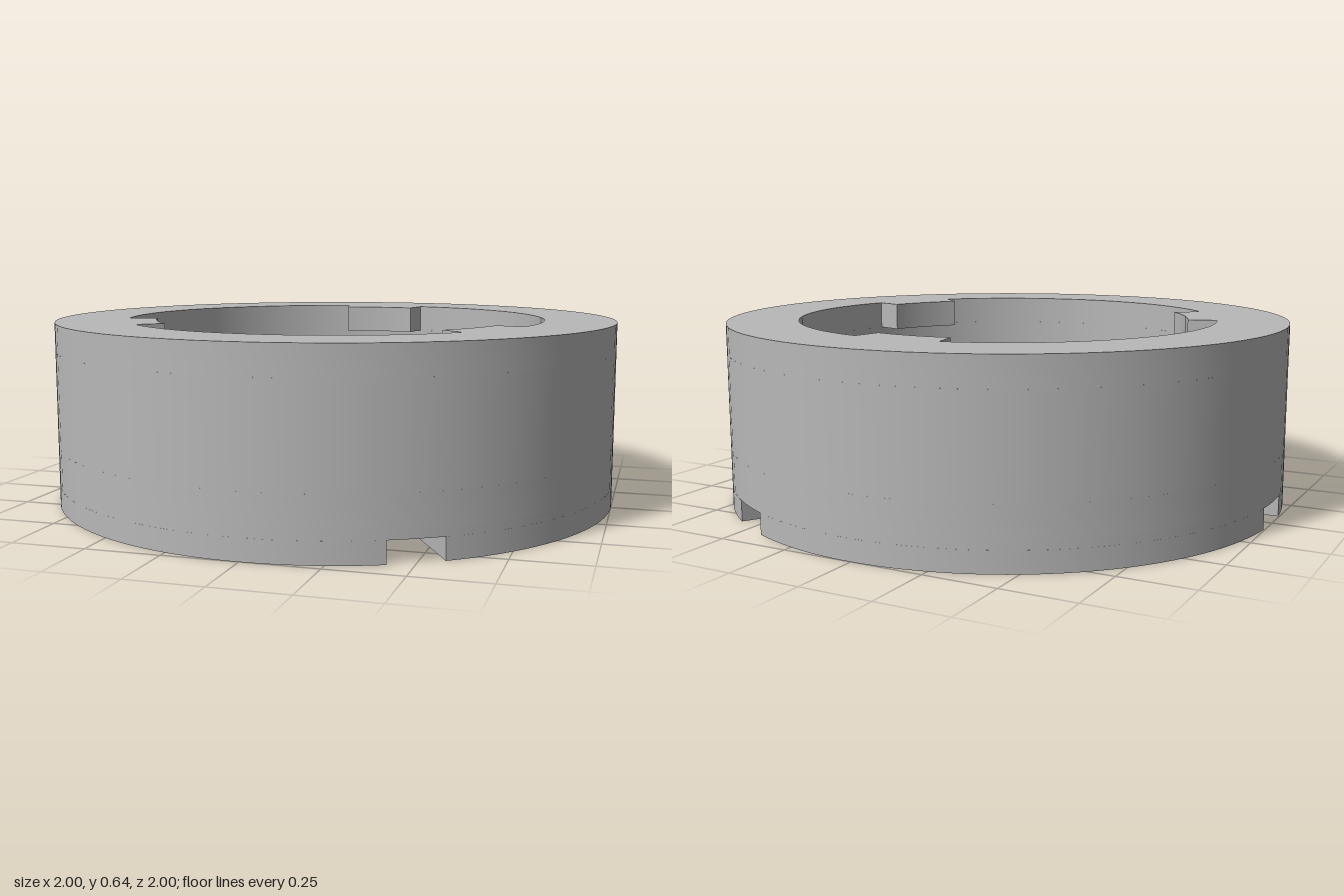
import * as THREE from 'three';
import { toCreasedNormals } from 'three/addons/utils/BufferGeometryUtils.js';
import { ParametricGeometry } from 'three/addons/geometries/ParametricGeometry.js';

const R = 1, BORE = 0.75, TAB_R = 0.648;
const SLOT_TOP = 0.073, POCKET = 0.1, FLOOR = 0.21, TAB_Y = 0.543, TOP = 0.643;
const rad = THREE.MathUtils.degToRad;

export function createModel() {
  const group = new THREE.Group();
  const metal = new THREE.MeshStandardMaterial({ color: 0xb8b8b8, side: THREE.DoubleSide });
  metal.name = 'grey metal';

  const add = (name, geometry) => {
    const mesh = new THREE.Mesh(geometry, metal);
    mesh.name = name;
    group.add(mesh);
  };

  // Horizontal layer from y0 to y1; the shape's y axis points to the back
  const layer = (name, shape, y0, y1) => {
    const g = new THREE.ExtrudeGeometry(shape, { depth: y1 - y0, bevelEnabled: false, curveSegments: 48 });
    g.rotateX(-Math.PI / 2).translate(0, y0, 0);
    add(name, toCreasedNormals(g, 0.5));
  };

  const circle = (x, y, r, Type = THREE.Path) => new Type().absarc(x, y, r, 0, Math.PI * 2, false);

  // Drilled pattern: centre bore, six pin holes, four screw holes
  const drill = (shape, screwRadius) => {
    shape.holes.push(circle(0, 0, 0.115));
    for (let i = 0; i < 6; i++) {
      const a = rad(60 * i);
      shape.holes.push(circle(0.43 * Math.cos(a), 0.43 * Math.sin(a), 0.035));
    }
    for (const sx of [-1, 1])
      for (const sy of [-1, 1]) shape.holes.push(circle(sx * 0.177, sy * 0.177, screwRadius));
    return shape;
  };

  // Bottom layer with three radial slots open to the rim
  const slotted = new THREE.Shape();
  const half = 0.09, inner = 0.54, edge = Math.asin(half / R);
  for (let k = 0; k < 3; k++) {
    const a = rad(60 + 120 * k), c = Math.cos(a), s = Math.sin(a);
    const p = (r, w) => [r * c - w * s, r * s + w * c];
    if (k === 0) slotted.moveTo(...p(inner, -half));
    else slotted.lineTo(...p(inner, -half));
    slotted.lineTo(...p(inner, half));
    slotted.absarc(0, 0, R, a + edge, a + rad(120) - edge, false);
  }
  layer('slottedBase', drill(slotted, 0.043), 0, SLOT_TOP);

  // Solid plate above the slots, then the floor with counterbores and a blind hole
  layer('basePlate', drill(circle(0, 0, R, THREE.Shape), 0.043), SLOT_TOP, POCKET);
  const floor = drill(circle(0, 0, R, THREE.Shape), 0.083);
  floor.holes.push(circle(0.625, 0, 0.053));
  layer('cavityFloor', floor, POCKET, FLOOR);

  // Top ring with three inward tabs
  const ring = circle(0, 0, R, THREE.Shape);
  const opening = new THREE.Path();
  for (let k = 0; k < 3; k++) {
    const a = 90 + 120 * k;
    opening.absarc(0, 0, TAB_R, rad(a - 12), rad(a + 12), false);
    opening.absarc(0, 0, BORE, rad(a + 12), rad(a + 108), false);
  }
  ring.holes.push(opening);
  layer('tabbedRim', ring, TAB_Y, TOP);

  // Wall with one radial port
  const portAngle = rad(120), span = 0.25, portR = 0.115;
  const midY = (FLOOR + TAB_Y) / 2, halfH = (TAB_Y - FLOOR) / 2;
  const onWall = (target, r, angle, y) =>
    target.set(r * Math.sin(portAngle + angle), midY + y, r * Math.cos(portAngle + angle));

  for (const [name, r] of [['outer', R], ['inner', BORE]]) {
    const wall = new THREE.CylinderGeometry(r, r, TAB_Y - FLOOR, 96, 1, true,
      portAngle + span, Math.PI * 2 - 2 * span);
    add(name + 'Wall', wall.translate(0, midY, 0));

    // Panel spreading from the round port to a rectangular border
    add(name + 'PortPanel', new ParametricGeometry((u, v, target) => {
      const t = u * Math.PI * 2, c = Math.cos(t), s = Math.sin(t);
      const m = Math.max(Math.abs(c), Math.abs(s));
      const angle = THREE.MathUtils.lerp(Math.asin(portR * c / r), span * c / m, v);
      onWall(target, r, angle, THREE.MathUtils.lerp(portR * s, halfH * s / m, v));
    }, 64, 6));
  }

  // Bore of the port, running between both wall faces
  add('portBore', new ParametricGeometry((u, v, target) => {
    const t = u * Math.PI * 2, r = THREE.MathUtils.lerp(BORE, R, v), w = portR * Math.cos(t);
    const d = THREE.MathUtils.lerp(Math.sqrt(BORE * BORE - w * w), Math.sqrt(R * R - w * w), v);
    onWall(target, Math.hypot(d, w), Math.atan2(w, d), portR * Math.sin(t));
  }, 64, 2));

  return group;
}
